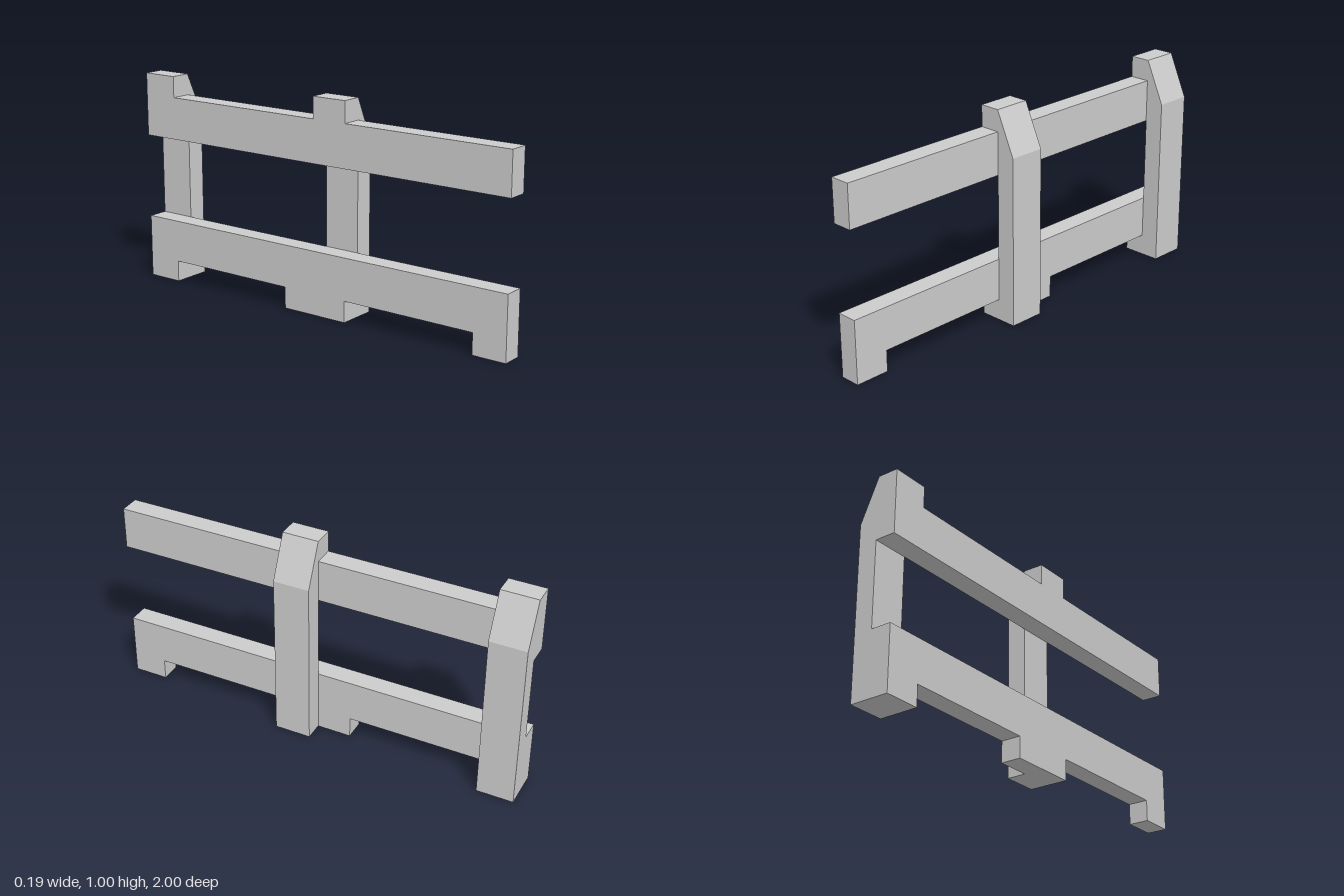
import * as THREE from 'three';

const BACK = -0.094, FACE = 0.003, FRONT = 0.094; // x planes of rail back, rail face, post face
const POST = 0.173, FOOT = 0.163; // lengths along z

const material = new THREE.MeshStandardMaterial({ color: 0xcccccc, flatShading: true });

function extrude(points, depth) {
  const shape = new THREE.Shape(points.map(([a, b]) => new THREE.Vector2(a, b)));
  return new THREE.ExtrudeGeometry(shape, { depth, bevelEnabled: false });
}

// Extrudes a z/y outline across the rail thickness
function railGeometry(points) {
  return extrude(points, FACE - BACK).rotateY(-Math.PI / 2).translate(FACE, 0, 0);
}

function createBay() {
  const bay = new THREE.Group();
  const add = (name, geometry) => {
    const mesh = new THREE.Mesh(geometry, material);
    mesh.name = name;
    bay.add(mesh);
  };

  // Post with sloped top and blocks that carry the rails
  add('post', extrude([
    [BACK, 0], [FRONT, 0], [FRONT, 0.8], [FACE, 1], [BACK, 1],
    [BACK, 0.7], [FACE, 0.7], [FACE, 0.3], [BACK, 0.3],
  ], POST));

  // Straight upper rail
  add('upperRail', railGeometry([[POST, 0.7], [1, 0.7], [1, 0.9], [POST, 0.9]]));

  // Lower rail with a foot at its far end
  add('lowerRail', railGeometry([
    [POST, 0.1], [1 - FOOT, 0.1], [1 - FOOT, 0], [1, 0], [1, 0.3], [POST, 0.3],
  ]));
  return bay;
}

export function createModel() {
  const model = new THREE.Group();
  model.name = 'guardRail';
  // Two identical bays in a row
  ['backBay', 'frontBay'].forEach((name, i) => {
    const bay = createBay();
    bay.name = name;
    bay.position.z = i - 1;
    model.add(bay);
  });
  return model;
}
